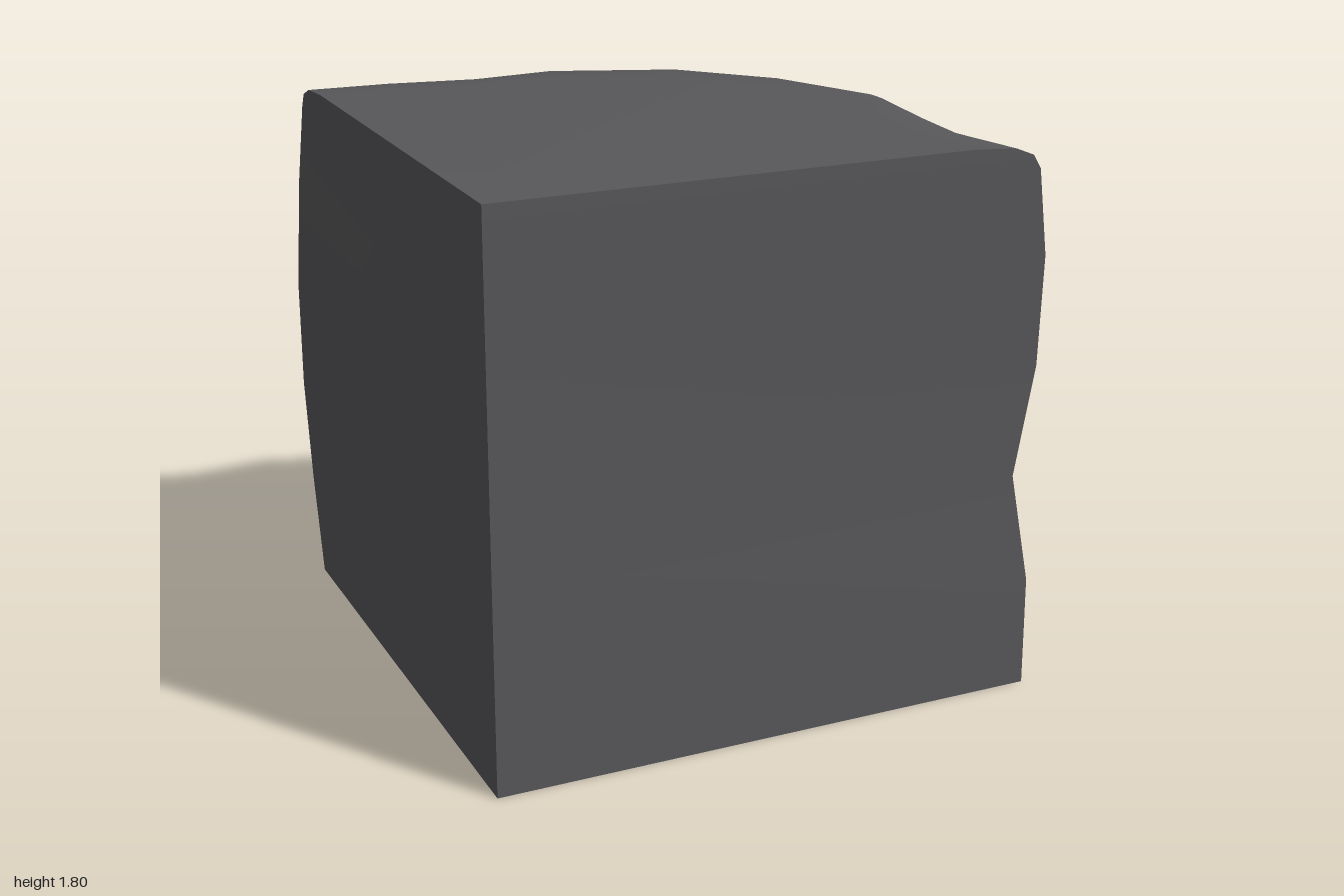
import * as THREE from 'three';
import { toCreasedNormals } from 'three/addons/utils/BufferGeometryUtils.js';

// Heights of the rock's cross-sections
const LEVELS = [0, 0.36, 0.72, 1.08, 1.44, 1.72];
// Square corner where the two flat faces meet
const CORNER = [-0.96, 0.945];

// Rugged wall: one column per row, [x, z] at each level, from the front edge round to the back edge
const COLUMNS = [
  [[0.86, 0.935], [0.86, 0.93], [0.80, 0.91], [0.865, 0.91], [0.865, 0.925], [0.82, 0.94]],
  [[0.67, 0.655], [0.72, 0.66], [0.92, 0.65], [0.975, 0.65], [0.80, 0.65], [0.755, 0.65]],
  [[0.95, 0.32], [0.96, 0.35], [0.92, 0.33], [0.90, 0.36], [0.80, 0.32], [0.775, 0.34]],
  [[0.945, 0.01], [0.805, 0.06], [0.995, -0.02], [0.925, 0.03], [0.70, 0.12], [0.81, 0.03]],
  [[0.545, -0.25], [0.56, -0.23], [0.56, -0.21], [0.54, -0.23], [0.59, -0.30], [0.64, -0.36]],
  [[0.265, -0.52], [0.24, -0.58], [0.27, -0.57], [0.395, -0.705], [0.29, -0.57], [0.37, -0.66]],
  [[-0.105, -0.77], [-0.04, -0.905], [-0.09, -0.84], [-0.08, -0.85], [-0.06, -0.755], [-0.06, -0.82]],
  [[-0.355, -0.78], [-0.36, -0.89], [-0.36, -0.93], [-0.36, -0.915], [-0.36, -0.85], [-0.36, -0.79]],
  [[-0.67, -0.74], [-0.67, -0.83], [-0.67, -0.92], [-0.67, -0.85], [-0.67, -0.945], [-0.67, -0.84]],
  [[-0.965, -0.865], [-0.985, -0.875], [-1, -0.88], [-1, -0.88], [-0.98, -0.875], [-0.96, -0.85]],
];

// Rounded shoulder: the last section shrinks towards the square corner as it rises
const SHOULDER = [[1.765, 0.985], [1.79, 0.95], [1.8, 0.87]];

function buildRings() {
  const rings = LEVELS.map((y, k) =>
    [...COLUMNS.map((column) => column[k]), CORNER].map(([x, z]) => new THREE.Vector3(x, y, z)));
  const last = rings[rings.length - 1];
  for (const [y, s] of SHOULDER) {
    rings.push(last.map((p) => new THREE.Vector3(
      CORNER[0] + (p.x - CORNER[0]) * s, y, CORNER[1] + (p.z - CORNER[1]) * s)));
  }
  return rings;
}

function geometryFrom(points, crease) {
  const geometry = new THREE.BufferGeometry().setFromPoints(points);
  return toCreasedNormals(geometry, crease);
}

export function createModel() {
  const group = new THREE.Group();
  group.name = 'rockBlock';
  const stone = new THREE.MeshStandardMaterial({ color: 0x58585b });
  stone.name = 'dark grey stone';

  const rings = buildRings();
  const n = rings[0].length;
  const rugged = [], front = [], side = [], bottom = [];

  // Join neighbouring sections; the two strips touching the square corner are the flat faces
  for (let k = 0; k < rings.length - 1; k++) {
    for (let i = 0; i < n; i++) {
      const j = (i + 1) % n;
      const a = rings[k][i], b = rings[k][j], c = rings[k + 1][j], d = rings[k + 1][i];
      const target = i === n - 1 ? front : i === n - 2 ? side : rugged;
      target.push(a, b, d, b, c, d);
    }
  }

  // Flat top and base fan out from the square corner
  const top = rings[rings.length - 1], base = rings[0];
  for (let i = 0; i < n - 2; i++) {
    rugged.push(top[n - 1], top[i], top[i + 1]);
    bottom.push(base[n - 1], base[i + 1], base[i]);
  }

  const parts = {
    ruggedWallAndTop: [rugged, 1.5],
    frontFace: [front, 0.6],
    sideFace: [side, 0.6],
    base: [bottom, 0.6],
  };
  for (const [name, [points, crease]] of Object.entries(parts)) {
    const mesh = new THREE.Mesh(geometryFrom(points, crease), stone);
    mesh.name = name;
    group.add(mesh);
  }
  return group;
}
